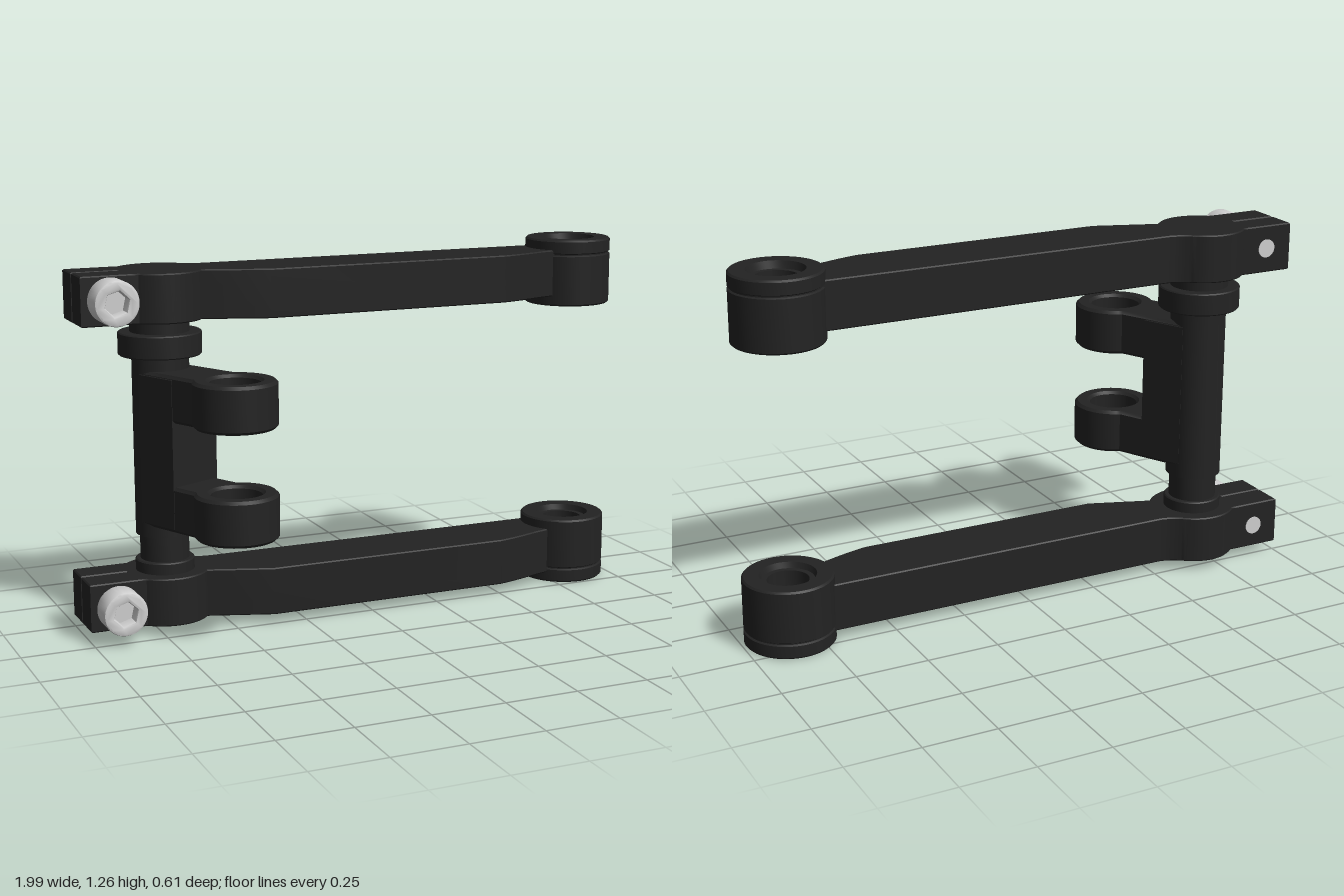
import * as THREE from 'three';
import { toCreasedNormals } from 'three/addons/utils/BufferGeometryUtils.js';

const PIVOT = { x: -0.705, z: -0.155 };
const MID_Y = 0.63; // the two arms mirror about this height

export function createModel() {
  const model = new THREE.Group();
  model.name = 'doubleArmLinkage';
  const black = new THREE.MeshStandardMaterial({ color: 0x232323 });
  black.name = 'black metal';
  const steel = new THREE.MeshStandardMaterial({ color: 0xd0d0d0 });
  steel.name = 'bright steel';

  function add(name, geometry, material, x = 0, y = 0, z = 0) {
    const mesh = new THREE.Mesh(toCreasedNormals(geometry, 0.6), material);
    mesh.name = name;
    mesh.position.set(x, y, z);
    model.add(mesh);
    return mesh;
  }
  const lathe = (points, segments = 48) =>
    new THREE.LatheGeometry(points.map(([r, y]) => new THREE.Vector2(r, y)), segments);

  // Extrude a plan outline (x, -z) upwards from y0 to y1 with fine edge chamfers
  function slab(shape, y0, y1, chamfer = 0.004) {
    const g = new THREE.ExtrudeGeometry(shape, {
      depth: y1 - y0 - 2 * chamfer, curveSegments: 24, bevelEnabled: true,
      bevelSegments: 1, bevelSize: chamfer, bevelThickness: chamfer, bevelOffset: -chamfer,
    });
    g.rotateX(-Math.PI / 2);
    g.translate(0, y0 + chamfer, 0);
    return g;
  }

  // Arm plan: split clamp, round boss, long bar with a bowed front edge
  const arm = new THREE.Shape();
  arm.moveTo(-1, 0.045);
  arm.lineTo(-0.83, 0.045);
  arm.absarc(PIVOT.x, -PIVOT.z, 0.15, -2.31, -0.64, false);
  arm.lineTo(-0.37, -0.01);
  arm.lineTo(0.5, -0.01);
  arm.quadraticCurveTo(0.56, 0, 0.67, 0.04);
  arm.lineTo(0.745, 0.06);
  arm.lineTo(0.745, 0.235);
  arm.lineTo(-0.53, 0.235);
  arm.quadraticCurveTo(-0.57, 0.24, -0.606, 0.268);
  arm.absarc(PIVOT.x, -PIVOT.z, 0.15, 0.85, Math.PI - 0.77, false);
  arm.lineTo(-0.83, 0.26);
  arm.lineTo(-1, 0.26);
  arm.lineTo(-1, 0.16);
  arm.lineTo(-0.84, 0.16);
  arm.lineTo(-0.84, 0.15);
  arm.lineTo(-1, 0.15);

  // Bushed eye with a grooved lip at its outer end and recessed bores
  const eyeProfile = [
    [0.07, 0.025], [0.088, 0.025], [0.095, 0], [0.146, 0], [0.152, 0.006], [0.152, 0.046],
    [0.146, 0.05], [0.146, 0.054], [0.152, 0.058], [0.152, 0.229], [0.146, 0.235],
    [0.095, 0.235], [0.088, 0.215], [0.07, 0.215], [0.07, 0.025],
  ];

  // Socket head with a hexagonal recess
  const head = new THREE.Shape();
  head.absarc(0, 0, 0.075, 0, Math.PI * 2, false);
  const hex = new THREE.Path();
  for (let i = 0; i < 6; i++) {
    const a = -i * Math.PI / 3 + 0.3;
    hex[i ? 'lineTo' : 'moveTo'](0.042 * Math.cos(a), 0.042 * Math.sin(a));
  }
  hex.closePath();
  head.holes.push(hex);

  for (const upper of [false, true]) {
    const prefix = upper ? 'upper' : 'lower';
    const y0 = upper ? 2 * MID_Y - 0.2 : 0.035;
    const boltY = upper ? 1.145 : 0.115;
    add(prefix + 'Arm', slab(arm, y0, y0 + 0.165), black);

    const eye = add(prefix + 'ArmEye', lathe(eyeProfile), black, 0.84, upper ? 2 * MID_Y : 0, -0.155);
    if (upper) eye.rotation.x = Math.PI;

    add(prefix + 'BoltHead', new THREE.ExtrudeGeometry(head, {
      depth: 0.08, curveSegments: 32, bevelEnabled: true, bevelSegments: 2,
      bevelSize: 0.008, bevelThickness: 0.008, bevelOffset: -0.008,
    }), steel, -0.905, boltY, -0.038);
    const floor = new THREE.CylinderGeometry(0.055, 0.055, 0.03, 24).rotateX(Math.PI / 2);
    add(prefix + 'BoltSocketFloor', floor, steel, -0.905, boltY, -0.015);
    const shank = new THREE.CylinderGeometry(0.032, 0.032, 0.225, 24).rotateX(Math.PI / 2);
    add(prefix + 'BoltShank', shank, steel, -0.905, boltY, -0.15);
  }

  // Pivot column with lower neck and upper collar
  add('pivotColumn', lathe([
    [0, 0.1], [0.1, 0.1], [0.1, 0.236], [0.096, 0.24], [0.083, 0.24], [0.083, 0.325],
    [0.096, 0.328], [0.096, 0.94], [0.136, 0.94], [0.14, 0.944], [0.14, 1.014],
    [0.136, 1.018], [0.1, 1.018], [0.1, 1.15], [0, 1.15],
  ]), black, PIVOT.x, 0, PIVOT.z);

  // Bracket: a web from the column carrying two ring lugs
  const lug = { x: -0.555, v: -0.16 };
  const dx = 0.43, dv = -0.903;          // direction from column to lugs
  const at = (along, side) => new THREE.Vector2(
    PIVOT.x + dx * along - dv * side, -PIVOT.z + dv * along + dx * side);
  const web = new THREE.Shape([at(0, -0.097), at(0.157, -0.1), at(0.157, 0.1), at(0, 0.097)]);
  add('bracketWeb', slab(web, 0.375, 0.885), black);

  const aim = Math.atan2(dv, dx);
  const lugShape = new THREE.Shape([at(0, 0.095), at(0, -0.095)]);
  lugShape.absarc(lug.x, lug.v, 0.14, aim - 2.35, aim + 2.35, false);
  const bore = new THREE.Path();
  bore.absarc(lug.x, lug.v, 0.085, 0, Math.PI * 2, true);
  lugShape.holes.push(bore);
  add('lowerLug', slab(lugShape, 0.367, 0.522, 0.01), black);
  add('upperLug', slab(lugShape, 0.738, 0.895, 0.01), black);

  return model;
}
